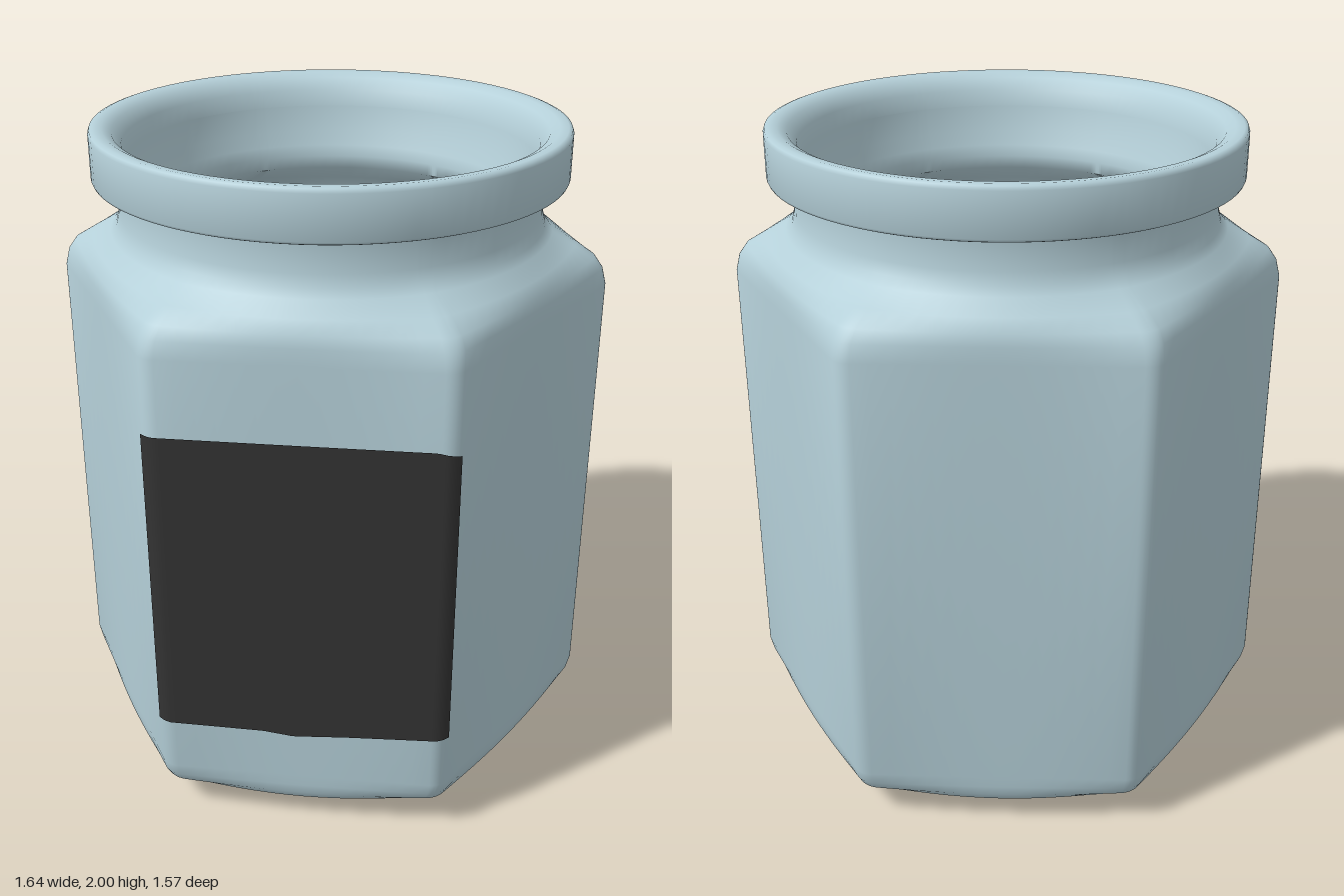
import * as THREE from 'three';
import { toCreasedNormals } from 'three/addons/utils/BufferGeometryUtils.js';

const RAD = Math.PI / 180;
const CORNER = 50 * RAD; // direction of the first hexagon corner
const ROUND = 0.075;     // corner rounding relative to the circumradius

// Points of a rounded hexagon whose corners reach radius 1: { angle, radius }
function hexagonRing() {
  const sharp = 1 + ROUND * (1 / Math.cos(Math.PI / 6) - 1);
  const centre = sharp - ROUND / Math.cos(Math.PI / 6);
  const pts = [];
  const arc = (k, t) => {
    const a = CORNER + k * 60 * RAD, b = a + t * 30 * RAD;
    return new THREE.Vector2(centre * Math.cos(a) + ROUND * Math.cos(b), centre * Math.sin(a) + ROUND * Math.sin(b));
  };
  for (let k = 0; k < 6; k++) {
    for (let i = -3; i <= 3; i++) pts.push(arc(k, i / 3));
    const from = arc(k, 1), to = arc(k + 1, -1);
    for (let i = 1; i < 14; i++) pts.push(from.clone().lerp(to, i / 14));
  }
  return pts.map((p) => ({ angle: Math.atan2(p.y, p.x), radius: p.length() }));
}

// Distance to the hexagon outline in a direction, for a hexagon of radius 1
function hexagonRadius(angle) {
  const apothem = (1 + ROUND * 0.1547) * Math.cos(Math.PI / 6);
  const off = ((angle - CORNER) / RAD % 60 + 60) % 60 - 30;
  return Math.min(apothem / Math.cos(off * RAD), 1);
}

function gridGeometry(positions, rows, cols, closed) {
  const index = [];
  for (let i = 0; i < rows - 1; i++) {
    for (let j = 0; j < (closed ? cols : cols - 1); j++) {
      const n = (j + 1) % cols;
      const a = i * cols + j, b = i * cols + n, c = a + cols, d = b + cols;
      index.push(a, c, b, b, c, d);
    }
  }
  const geo = new THREE.BufferGeometry();
  geo.setAttribute('position', new THREE.Float32BufferAttribute(positions, 3));
  geo.setIndex(index);
  geo.computeVertexNormals();
  return geo;
}

// Loft through rows of [height, corner radius, blend from circle (0) to hexagon (1)]
function loft(rows) {
  const ring = hexagonRing(), pos = [];
  for (const [y, r, hex = 0] of rows) {
    for (const p of ring) {
      const d = r * (1 + (p.radius - 1) * hex);
      pos.push(d * Math.cos(p.angle), y, d * Math.sin(p.angle));
    }
  }
  return toCreasedNormals(gridGeometry(pos, rows.length, ring.length, true), 0.9);
}

export function createModel() {
  const model = new THREE.Group();
  model.name = 'jar';
  const glass = new THREE.MeshStandardMaterial({ color: 0xb5d0d9 });
  const paper = new THREE.MeshStandardMaterial({ color: 0x333333, side: THREE.DoubleSide });

  const add = (name, geo, mat) => {
    const mesh = new THREE.Mesh(geo, mat);
    mesh.name = name;
    model.add(mesh);
  };

  // Round foot, hexagonal wall, shoulder and neck
  add('outerWall', loft([
    [0, 0.001], [0, 0.6], [0.004, 0.612], [0.015, 0.622], [0.03, 0.63], [0.042, 0.648, 0.03],
    [0.055, 0.69, 0.2], [0.08, 0.755, 0.55], [0.11, 0.8, 0.8], [0.14, 0.818, 0.94], [0.18, 0.828, 1],
    [1.53, 0.828, 1], [1.58, 0.815, 0.9], [1.615, 0.79, 0.74], [1.65, 0.73, 0.4], [1.69, 0.66, 0.1],
    [1.715, 0.637], [1.75, 0.627], [1.83, 0.622], [1.85, 0.625],
  ]), glass);

  // Rim band, rounded over into the mouth
  add('rim', loft([
    [1.85, 0.62], [1.85, 0.69], [1.853, 0.697], [1.86, 0.7], [1.985, 0.7], [1.996, 0.696],
    [2, 0.685], [1.998, 0.66], [1.985, 0.633], [1.95, 0.607], [1.9, 0.597],
  ]), glass);

  // Inside of neck, hollow and floor
  add('innerWall', loft([
    [1.9, 0.597], [1.82, 0.582], [1.775, 0.565], [1.74, 0.556], [1.7, 0.562], [1.65, 0.65, 0.4],
    [1.58, 0.74, 0.9], [1.5, 0.77, 1], [0.18, 0.77, 1], [0.1, 0.72, 0.7], [0.07, 0.64, 0.2],
    [0.06, 0.58], [0.06, 0.001],
  ]), glass);

  // Paper label covering one face and just turning its corners, with uneven edges
  const lower = [[108.5, 0.355], [130, 0.343], [142, 0.333], [149, 0.345], [171.5, 0.35]];
  const upper = [[108.5, 1.29], [113, 1.305], [171.5, 1.305]];
  const edgeAt = (list, a) => {
    const k = Math.max(1, list.findIndex((p) => p[0] >= a));
    const [a0, y0] = list[k - 1], [a1, y1] = list[k];
    return y0 + (y1 - y0) * (a - a0) / (a1 - a0);
  };
  const cols = 64, pos = [];
  for (const edge of [lower, upper]) {
    for (let j = 0; j < cols; j++) {
      const deg = 108.5 + 63 * j / (cols - 1), a = deg * RAD;
      const r = 0.828 * hexagonRadius(a) + 0.007;
      pos.push(r * Math.cos(a), edgeAt(edge, deg), r * Math.sin(a));
    }
  }
  add('label', gridGeometry(pos, 2, cols, false), paper);

  return model;
}
